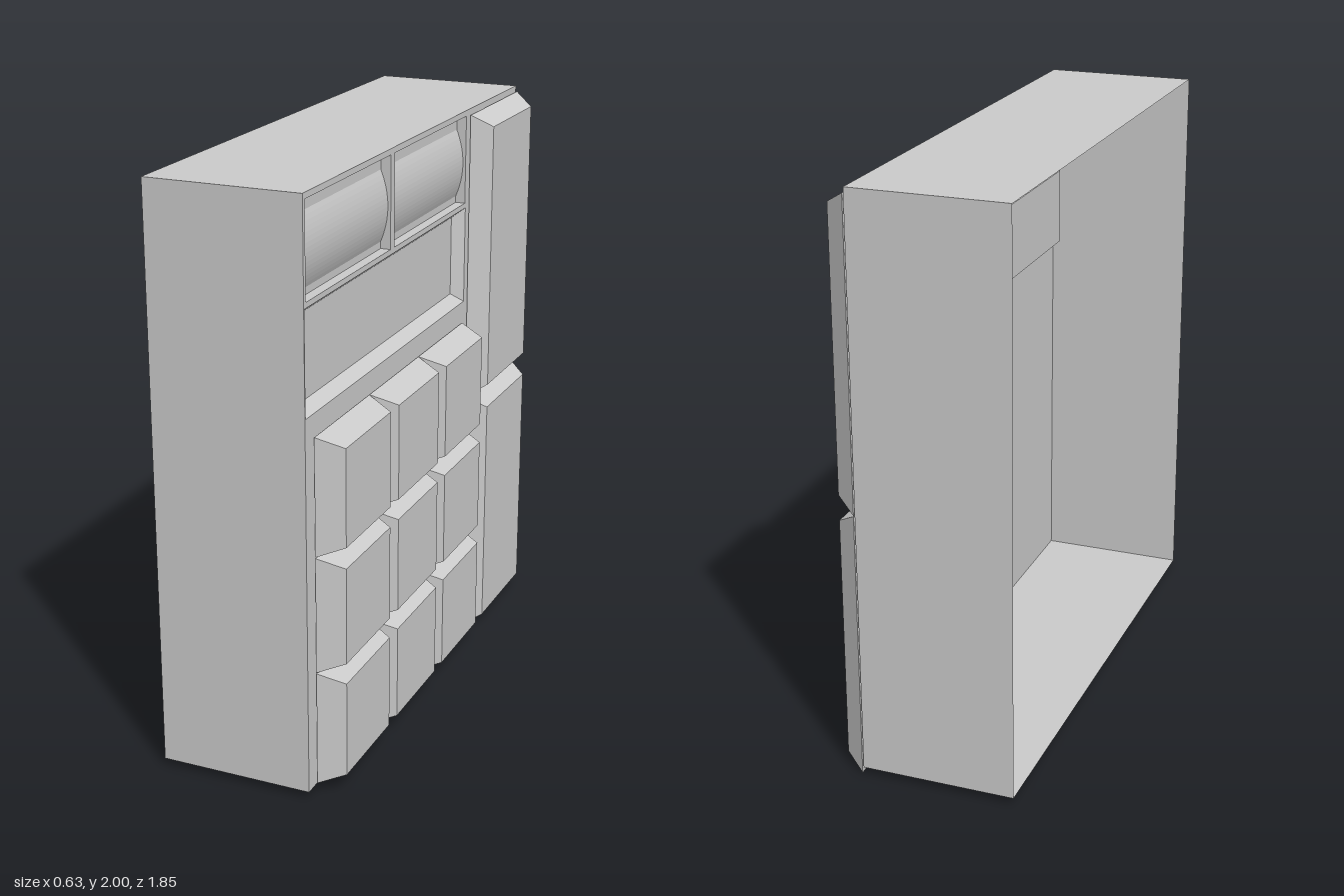
import * as THREE from 'three';

const BACK = -0.317, FACE = 0.213;               // open rear edge and front panel, along x
const Z = 0.925, Y0 = 0.025, Y1 = 2.0;

// rectangles on the panel: [z low, z high, y low, y high]
const DISPLAY = [-0.413, 0.92, 1.307, 1.652];
const POCKETS = [[0.27, 0.91, 1.67, 1.98], [-0.407, 0.238, 1.67, 1.98]];

// box between x0 and x1 whose end at taperX is inset on all four sides
function taperedBox([z0, z1, y0, y1], x0, x1, inset, taperX, openFront = false) {
  const g = new THREE.BoxGeometry(x1 - x0, y1 - y0, z1 - z0);
  g.translate((x0 + x1) / 2, (y0 + y1) / 2, (z0 + z1) / 2);
  const p = g.attributes.position;
  for (let i = 0; i < p.count; i++) {
    if (Math.abs(p.getX(i) - taperX) > 1e-4) continue;
    p.setY(i, p.getY(i) + (p.getY(i) > (y0 + y1) / 2 ? -inset : inset));
    p.setZ(i, p.getZ(i) + (p.getZ(i) > (z0 + z1) / 2 ? -inset : inset));
  }
  if (openFront) {
    g.setIndex(Array.from(g.index.array).slice(6));
    g.clearGroups();
  }
  g.computeVertexNormals();
  return g;
}

// rectangle path in the panel's own plane, where u = -z
function trace(path, [z0, z1, y0, y1]) {
  path.moveTo(-z1, y0);
  path.lineTo(-z0, y0);
  path.lineTo(-z0, y1);
  path.lineTo(-z1, y1);
  path.closePath();
  return path;
}

export function createModel() {
  const model = new THREE.Group();
  const grey = new THREE.MeshStandardMaterial({ color: 0xcccccc, side: THREE.DoubleSide });
  grey.name = 'plainGrey';
  const add = (name, geometry) => {
    const mesh = new THREE.Mesh(geometry, grey);
    mesh.name = name;
    model.add(mesh);
    return mesh;
  };

  // thin case walls, open at the rear
  const depth = FACE - BACK, midX = (FACE + BACK) / 2, midY = (Y0 + Y1) / 2;
  for (const s of [-1, 1]) {
    const cap = new THREE.PlaneGeometry(depth, 2 * Z).rotateX(-s * Math.PI / 2);
    add(s > 0 ? 'topWall' : 'bottomWall', cap.translate(midX, s > 0 ? Y1 : Y0, 0));
    const side = new THREE.PlaneGeometry(depth, Y1 - Y0);
    if (s < 0) side.rotateY(Math.PI);
    add(s > 0 ? 'frontWall' : 'rearWall', side.translate(midX, midY, s * Z));
  }

  // panel with openings for the display and the two pockets
  const panel = trace(new THREE.Shape(), [-Z, Z, Y0, Y1]);
  panel.holes = [DISPLAY, ...POCKETS].map(r => trace(new THREE.Path(), r));
  add('panel', new THREE.ShapeGeometry(panel).rotateY(Math.PI / 2).translate(FACE, 0, 0));

  // bevelled display recess
  add('displayRecess', taperedBox(DISPLAY, FACE - 0.04, FACE, 0.032, FACE - 0.04, true));

  // upper pockets, each with a gently curved insert
  const floor = FACE - 0.035;
  for (const r of POCKETS) {
    add('pocket', taperedBox(r, floor, FACE, 0, floor, true));
    const profile = new THREE.Shape();
    profile.moveTo(floor, 1.693);
    profile.quadraticCurveTo(floor + 0.05, 1.8115, floor, 1.93);
    profile.closePath();
    const insert = new THREE.ExtrudeGeometry(profile, {
      depth: r[1] - 0.02 - r[0], bevelEnabled: false, curveSegments: 16,
    });
    add('curvedInsert', insert.translate(0, 0, r[0]));
  }

  // three by three block of keys
  for (let row = 0; row < 3; row++) {
    for (let col = 0; col < 3; col++) {
      const z1 = 0.876 - col * 0.42, y1 = 1.235 - row * 0.4015;
      add('key', taperedBox([z1 - 0.419, z1, y1 - 0.398, y1], 0.22, 0.31, 0.034, 0.31));
    }
  }

  // two tall keys beside the block
  for (const [y0, y1] of [[0, 0.935], [0.937, 1.98]]) {
    add('tallKey', taperedBox([-0.92, -0.43, y0, y1], 0.22, 0.291, 0.043, 0.291));
  }

  return model;
}
